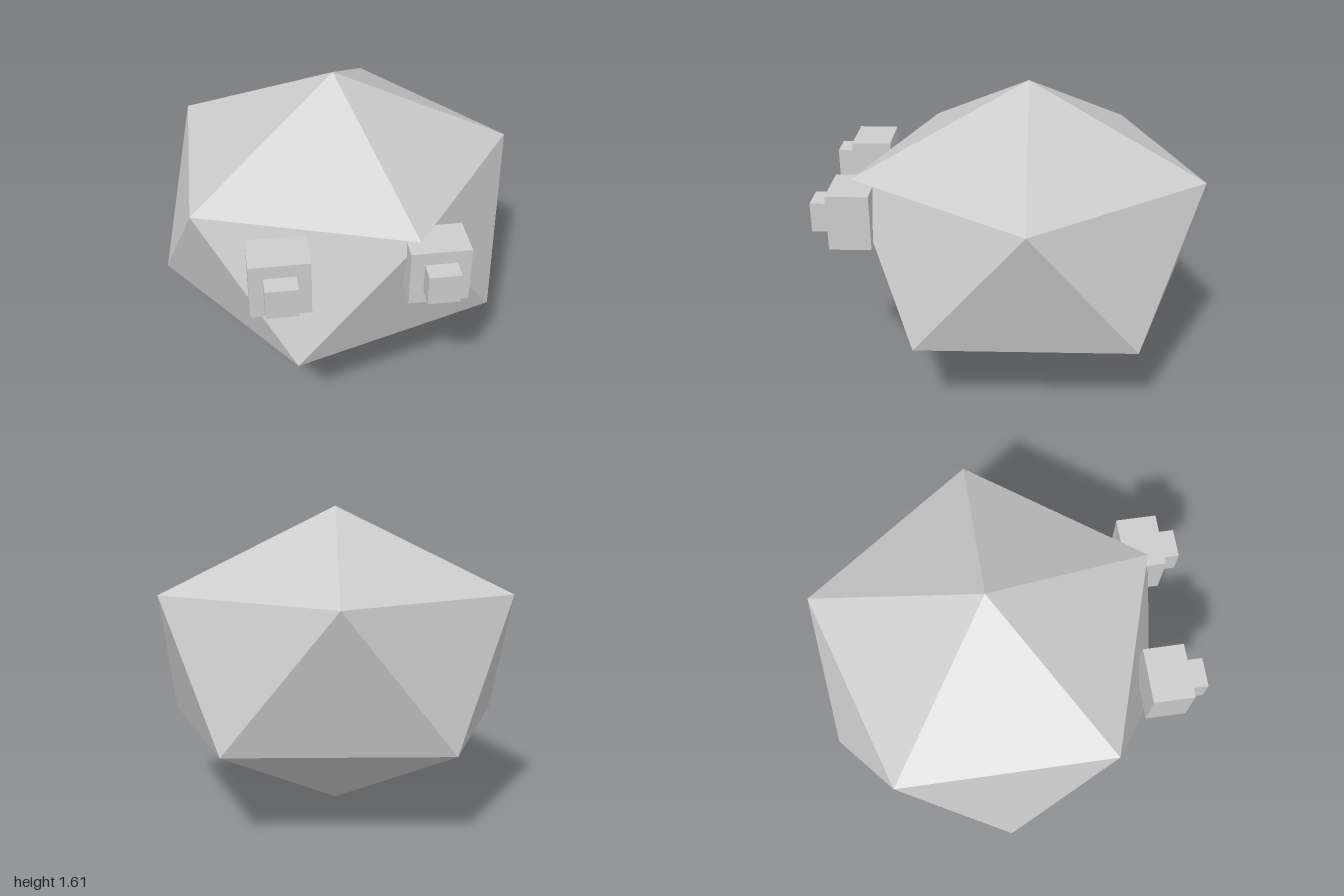
import * as THREE from 'three';

const CENTRE_Z = -0.09;

// Faceted body: two five-point rings, half a step apart, between two poles
function bodyGeometry() {
  const radius = 0.955;
  const ring = (y, offset) => (i) => {
    const a = ((i + offset) * Math.PI * 2) / 5;
    return [radius * Math.cos(a), y, CENTRE_Z + radius * Math.sin(a)];
  };
  const upper = ring(1.165, 0);
  const lower = ring(0.447, 0.5);
  const top = [0, 1.61, CENTRE_Z];
  const bottom = [0, 0, CENTRE_Z];
  const points = [];
  for (let i = 0; i < 5; i++) {
    points.push(...top, ...upper(i + 1), ...upper(i));
    points.push(...upper(i), ...upper(i + 1), ...lower(i));
    points.push(...upper(i + 1), ...lower(i + 1), ...lower(i));
    points.push(...bottom, ...lower(i), ...lower(i + 1));
  }
  const geometry = new THREE.BufferGeometry();
  geometry.setAttribute('position', new THREE.Float32BufferAttribute(points, 3));
  geometry.computeVertexNormals();
  return geometry;
}

export function createModel() {
  const model = new THREE.Group();
  model.name = 'facetedCreature';
  const grey = new THREE.MeshStandardMaterial({ color: 0xcccccc });
  grey.name = 'light grey';

  const add = (name, geometry, x = 0, y = 0, z = 0) => {
    const mesh = new THREE.Mesh(geometry, grey);
    mesh.name = name;
    mesh.position.set(x, y, z);
    model.add(mesh);
  };

  add('body', bodyGeometry());

  // Block eyes with smaller block pupils on their front faces
  for (const [side, s] of [['left', 1], ['right', -1]]) {
    add(side + 'Eye', new THREE.BoxGeometry(0.29, 0.29, 0.215), s * 0.375, 1.02, 0.7975);
    add(side + 'Pupil', new THREE.BoxGeometry(0.155, 0.155, 0.095), s * 0.375, 1.02, 0.9525);
  }
  return model;
}
